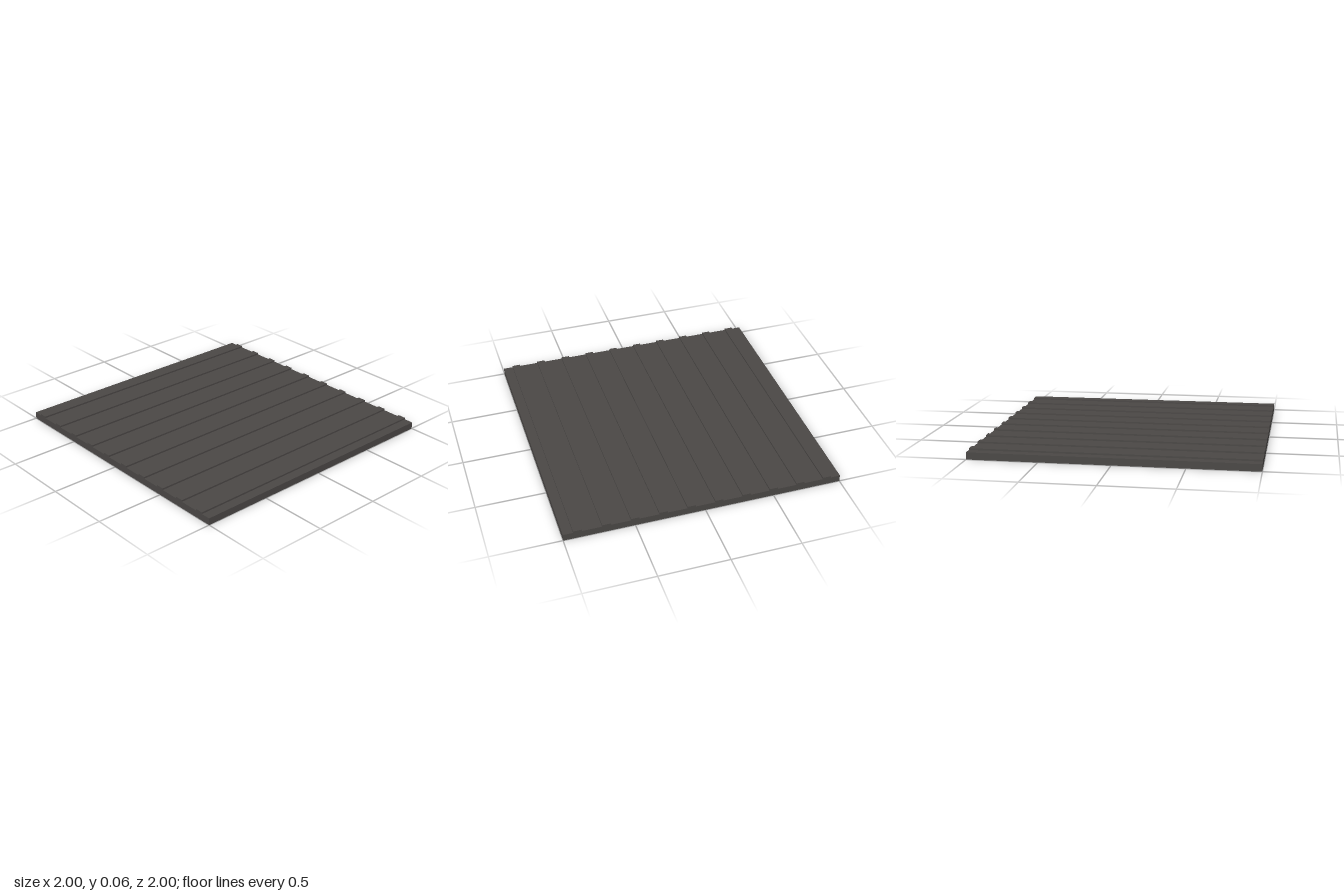
import * as THREE from 'three';

export function createModel() {
  const group = new THREE.Group();
  group.name = 'ribbedPanel';
  const material = new THREE.MeshStandardMaterial({ color: 0x4a4745 });

  function addBox(name, width, height, x, bottom) {
    const mesh = new THREE.Mesh(new THREE.BoxGeometry(width, height, 2), material);
    mesh.name = name;
    mesh.position.set(x, bottom + height / 2, 0);
    group.add(mesh);
  }

  // Flat base slab
  const slabHeight = 0.05;
  addBox('slab', 2, slabHeight, 0, 0);

  // Ten evenly spaced raised ribs running front to back
  for (let i = 0; i < 10; i++) {
    addBox(`rib${i + 1}`, 0.06, 0.012, -0.9 + i * 0.2, slabHeight);
  }

  return group;
}
